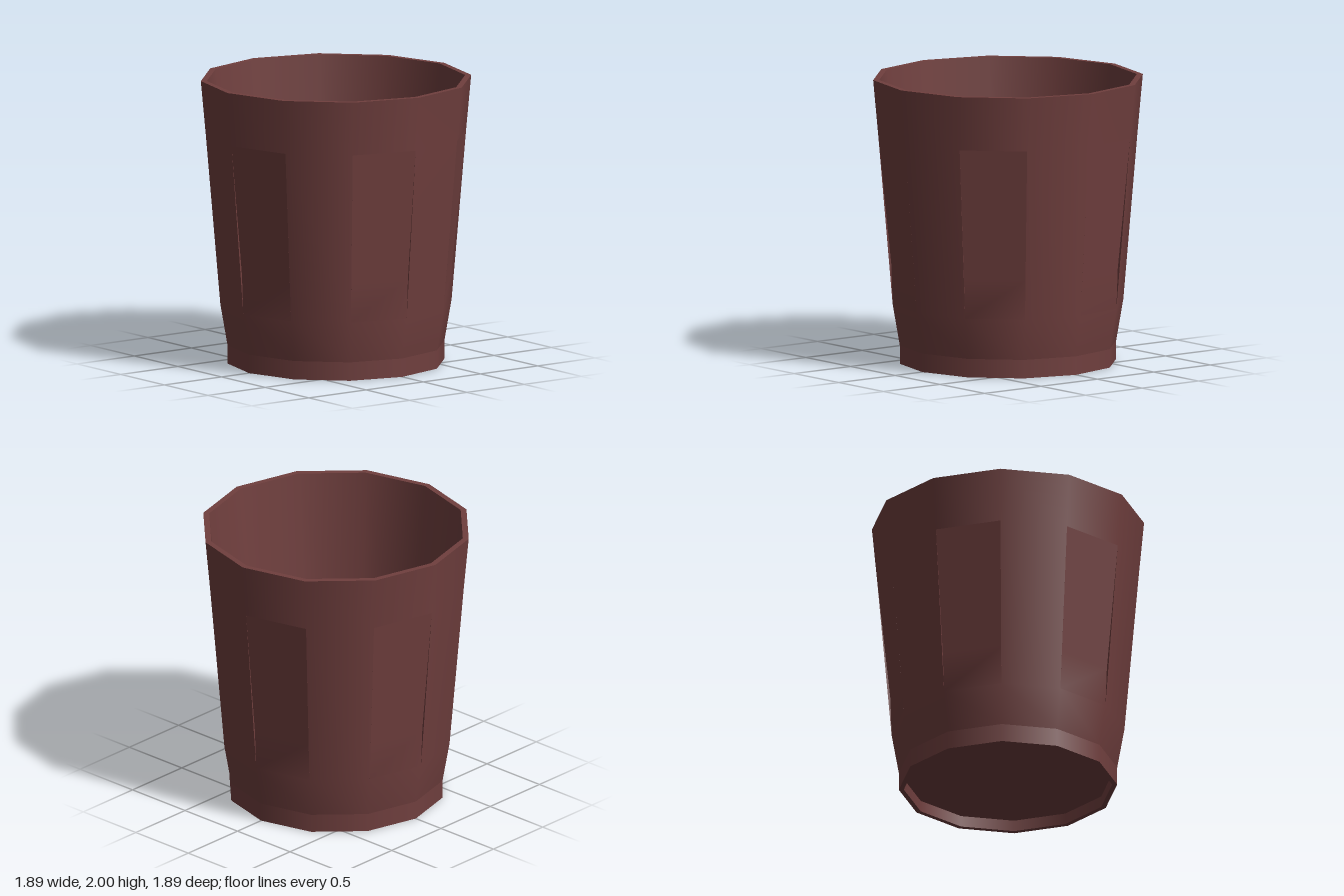
import * as THREE from 'three';

const SIDES = 12;
const STEP = (Math.PI * 2) / SIDES;
const PANEL_TOP = [0.912, 1.62];
const PANEL_DEEP = [0.834, 0.7];
const PANEL_FOOT = [0.81, 0.42];
const PANEL_DEPTH = 0.016;

const material = new THREE.MeshStandardMaterial({ color: 0x703f3e, side: THREE.DoubleSide });

function lathe(points) {
  return new THREE.LatheGeometry(points.map(([r, y]) => new THREE.Vector2(r, y)), SIDES);
}

// Outer wall, leaving an opening in every second facet for a sunken panel
function wallGeometry() {
  const profile = [[0.76, 0.13], PANEL_FOOT, PANEL_TOP, [0.947, 2]];
  const geometry = lathe(profile);
  const rows = profile.length - 1;
  const kept = Array.from(geometry.index.array).filter((_, k) => {
    const quad = Math.floor(k / 6);
    const facet = Math.floor(quad / rows);
    return !(facet % 2 === 0 && quad % rows === 1);
  });
  geometry.setIndex(kept);
  return geometry;
}

// A flat panel sinking towards its foot, with a thin sliver wall on each side
function panelGeometry() {
  const positions = [];
  const normals = [];
  const half = STEP / 2;
  const point = ([r, y], side, depth) =>
    new THREE.Vector3(side * r * Math.sin(half), y, r * Math.cos(half) - depth);
  const add = (p, n) => {
    positions.push(p.x, p.y, p.z);
    normals.push(n.x, n.y, n.z);
  };
  const flat = new THREE.Vector3(0, -0.1, 1).normalize();
  const rows = [[PANEL_FOOT, 0], [PANEL_DEEP, PANEL_DEPTH], [PANEL_TOP, 0]];
  for (let j = 0; j < 2; j++) {
    const corners = [[j, -1], [j, 1], [j + 1, 1], [j + 1, -1]];
    for (const k of [0, 1, 2, 0, 2, 3]) {
      const [row, side] = corners[k];
      const foot = new THREE.Vector3(side * Math.sin(half), -0.12, Math.cos(half)).normalize();
      add(point(rows[row][0], side, rows[row][1]), row === 0 ? foot : flat);
    }
  }
  for (const side of [-1, 1]) {
    const inward = new THREE.Vector3(-side, 0, 0);
    const tri = [
      point(PANEL_FOOT, side, 0),
      point(PANEL_DEEP, side, PANEL_DEPTH),
      point(PANEL_DEEP, side, 0),
      point(PANEL_TOP, side, 0),
    ];
    const order = side > 0 ? [0, 2, 1, 1, 2, 3] : [0, 1, 2, 1, 3, 2];
    order.forEach((k) => add(tri[k], inward));
  }
  const geometry = new THREE.BufferGeometry();
  geometry.setAttribute('position', new THREE.Float32BufferAttribute(positions, 3));
  geometry.setAttribute('normal', new THREE.Float32BufferAttribute(normals, 3));
  return geometry;
}

export function createModel() {
  const cup = new THREE.Group();
  cup.name = 'cup';
  const add = (name, geometry) => {
    const mesh = new THREE.Mesh(geometry, material);
    mesh.name = name;
    cup.add(mesh);
    return mesh;
  };

  add('outerWall', wallGeometry());

  // Alternate facets carry a sunken panel
  const panel = panelGeometry();
  for (let i = 0; i < SIDES; i += 2) {
    add('sunkenPanel', panel).rotation.y = (i + 0.5) * STEP;
  }

  // Rim and interior
  add('rim', lathe([[0.947, 2], [0.905, 2]]));
  add('innerWall', lathe([[0.905, 2], [0.70, 0.13]]));
  add('floor', lathe([[0.70, 0.13], [0, 0.13]]));

  // Foot ring and recessed underside
  add('footBand', lathe([[0.76, 0], [0.76, 0.13]]));
  add('footRing', lathe([[0.725, 0], [0.76, 0]]));
  add('footInnerWall', lathe([[0.725, 0.08], [0.725, 0]]));
  add('underside', lathe([[0, 0.08], [0.725, 0.08]]));

  return cup;
}
